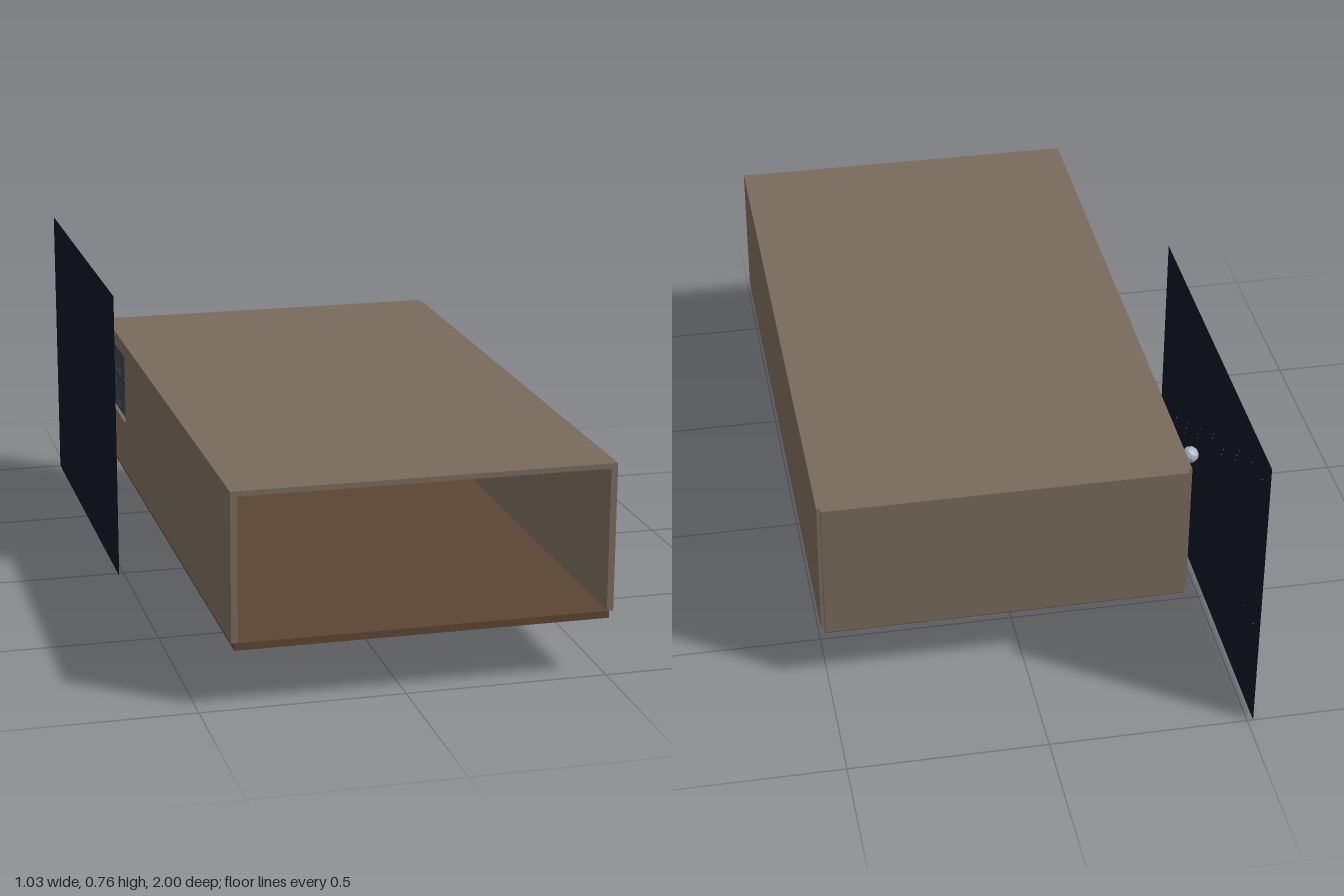
import * as THREE from 'three';

const WALL = 0x786a5c, FLOOR = 0x5c4533, WOOD = 0x4a3022, DARK = 0x2b3037, BLACK = 0x15181c,
  GREY = 0x3c444d, CREAM = 0xcfc8b8, ORANGE = 0xb5602a, GREEN = 0x2f5a45, TAN = 0x9a8260;
const BACK = -0.645, DESK = 0.27, GROUND = 0.164;

const mats = {};
function mat(color) {
  return (mats[color] ??= new THREE.MeshStandardMaterial({ color, flatShading: true, side: THREE.DoubleSide }));
}

export function createModel() {
  const root = new THREE.Group();

  function add(name, geo, color, x = 0, y = 0, z = 0, parent = root) {
    const m = new THREE.Mesh(geo, mat(color));
    m.name = name;
    m.position.set(x, y, z);
    parent.add(m);
    return m;
  }
  // box given by its limits
  const box = (name, color, x0, x1, y0, y1, z0, z1, parent) =>
    add(name, new THREE.BoxGeometry(x1 - x0, y1 - y0, z1 - z0), color,
      (x0 + x1) / 2, (y0 + y1) / 2, (z0 + z1) / 2, parent);
  // upright cylinder standing on y
  const cyl = (name, color, rt, rb, h, x, y, z, n = 12, parent) =>
    add(name, new THREE.CylinderGeometry(rt, rb, h, n), color, x, y + h / 2, z, parent);
  const ball = (name, color, r, x, y, z) => add(name, new THREE.IcosahedronGeometry(r, 1), color, x, y, z);

  // room shell, open to the front
  box('floor', FLOOR, -0.415, 0.503, 0.146, GROUND, -0.655, 1);
  box('ceiling', WALL, -0.422, 0.513, 0.52, 0.533, -0.655, 1);
  box('rightWall', WALL, 0.497, 0.513, GROUND, 0.52, -0.655, 1);
  box('backWall', WALL, -0.413, 0.504, 0.16, 0.533, -0.67, BACK);

  // left wall with a window opening (shape x is -z)
  const W = { z0: -0.6, z1: -0.37, y0: 0.305, y1: 0.495 };
  const wall = new THREE.Shape([[-1, GROUND], [0.655, GROUND], [0.655, 0.52], [-1, 0.52]]
    .map(p => new THREE.Vector2(...p)));
  wall.holes.push(new THREE.Path([[-W.z1, W.y0], [-W.z1, W.y1], [-W.z0, W.y1], [-W.z0, W.y0]]
    .map(p => new THREE.Vector2(...p))));
  const wallGeo = new THREE.ExtrudeGeometry(wall, { depth: 0.016, bevelEnabled: false });
  wallGeo.rotateY(Math.PI / 2);
  add('leftWall', wallGeo, WALL, -0.422, 0, 0);

  // window frame
  const fx0 = -0.412, fx1 = -0.386, t = 0.008;
  for (const z of [W.z0, (W.z0 + W.z1) / 2, W.z1]) box('windowUpright', DARK, fx0, fx1, W.y0 - t, W.y1 + t, z - t / 2, z + t / 2);
  for (const y of [W.y0, (W.y0 + W.y1) / 2, W.y1]) box('windowRail', DARK, fx0, fx1, y - t / 2, y + t / 2, W.z0, W.z1);

  // night sky, stars and moon outside
  const sky = add('nightSky', new THREE.PlaneGeometry(1.02, 0.765), 0x0e1422, -0.515, 0.3825, -0.49);
  sky.rotation.y = Math.PI / 2;
  for (let i = 0; i < 24; i++) {
    add('star', new THREE.OctahedronGeometry(0.0012), 0xcccccc, -0.513,
      0.25 + 0.45 * ((i * 0.618) % 1), -0.95 + 0.92 * ((i * 0.377 + 0.1) % 1));
  }
  ball('moon', 0xa9b3c6, 0.022, -0.465, 0.445, -0.475);

  // ceiling lamp
  box('lampHousing', DARK, -0.043, 0.131, 0.509, 0.519, -0.6, -0.56);
  box('lampTube', ORANGE, -0.026, 0.117, 0.501, 0.508, -0.59, -0.57);

  // row of pictures
  for (let i = 0; i < 8; i++) {
    const x = -0.3 + i * 0.0892;
    box('pictureFrame', DARK, x - 0.041, x + 0.041, 0.419, 0.479, BACK, BACK + 0.008);
    box('pictureSheet', CREAM, x - 0.033, x + 0.033, 0.426, 0.472, BACK, BACK + 0.01);
  }
  // dark notice board and display case
  box('boardFrame', GREY, -0.343, -0.268, 0.3, 0.394, BACK, BACK + 0.008);
  box('board', BLACK, -0.337, -0.274, 0.306, 0.388, BACK, BACK + 0.01);
  for (let i = 0; i < 5; i++) box('boardLine', TAN, -0.325, -0.295 + 0.006 * (i % 3), 0.32 + i * 0.012, 0.322 + i * 0.012, BACK, BACK + 0.011);
  box('displayCase', BLACK, 0.302, 0.382, 0.312, 0.406, BACK, BACK + 0.01);
  box('displayedDevice', GREY, 0.327, 0.354, 0.328, 0.376, BACK, BACK + 0.018);
  box('deviceScreen', CREAM, 0.333, 0.348, 0.35, 0.368, BACK, BACK + 0.02);

  // desk
  box('deskTop', WOOD, -0.404, 0.495, 0.259, DESK, BACK, -0.5);
  box('deskRail', DARK, -0.404, 0.495, 0.255, 0.26, BACK + 0.01, -0.51);
  box('keyboardTray', DARK, 0.02, 0.17, 0.241, 0.254, -0.6, -0.515);

  // drawer units under the desk
  function drawers(x0, x1, n) {
    box('drawerUnit', GREY, x0, x1, GROUND, 0.257, BACK, -0.52);
    const h = 0.085 / n;
    for (let i = 0; i < n; i++) {
      const y = 0.168 + i * h;
      box('drawerFront', DARK, x0 + 0.004, x1 - 0.004, y, y + h - 0.004, -0.521, -0.516);
      box('drawerHandle', GREY, (x0 + x1) / 2 - 0.014, (x0 + x1) / 2 + 0.014, y + h * 0.6, y + h * 0.6 + 0.003, -0.516, -0.512);
    }
  }
  drawers(-0.396, -0.33, 3);
  drawers(0.357, 0.482, 3);

  // computer tower, printer, rug and bin
  box('tower', DARK, -0.31, -0.258, 0.17, 0.258, -0.63, -0.52);
  box('towerLight', ORANGE, -0.291, -0.277, 0.184, 0.246, -0.53, -0.518);
  box('printer', DARK, -0.249, -0.192, GROUND, 0.213, -0.61, -0.52);
  box('printerLid', GREY, -0.245, -0.195, 0.219, 0.232, -0.605, -0.53);
  box('printerSlot', BLACK, -0.241, -0.2, 0.186, 0.192, -0.53, -0.518);
  box('rug', DARK, -0.19, 0.29, GROUND, 0.168, -0.6, -0.3);
  add('bin', new THREE.CylinderGeometry(0.027, 0.021, 0.07, 14, 1, true), GREY, 0.229, 0.202, -0.56);
  add('binRim', new THREE.TorusGeometry(0.027, 0.002, 6, 14).rotateX(Math.PI / 2), DARK, 0.229, 0.237, -0.56);

  // three monitors
  for (const x of [-0.159, 0.006, 0.173]) {
    box('monitor', GREY, x - 0.072, x + 0.072, 0.3, 0.385, -0.6, -0.59);
    box('monitorScreen', BLACK, x - 0.066, x + 0.066, 0.307, 0.379, -0.592, -0.588);
    box('monitorNeck', DARK, x - 0.007, x + 0.007, DESK, 0.32, -0.61, -0.6);
    box('monitorFoot', DARK, x - 0.03, x + 0.03, DESK, 0.275, -0.62, -0.575);
  }
  box('keyboard', DARK, -0.055, 0.08, DESK, 0.276, -0.56, -0.525);

  // laptop
  box('laptopBase', DARK, -0.32, -0.24, DESK, 0.275, -0.58, -0.525);
  const lid = box('laptopLid', DARK, -0.316, -0.242, 0.275, 0.325, -0.586, -0.582);
  lid.rotation.x = -0.15;
  box('laptopScreen', BLACK, -0.035, 0.035, -0.021, 0.021, 0.001, 0.003, lid);

  // oscilloscope
  box('oscilloscope', CREAM, 0.255, 0.327, 0.274, 0.322, -0.6, -0.55);
  box('oscilloscopeScreen', BLACK, 0.262, 0.294, 0.284, 0.314, -0.552, -0.548);
  for (let i = 0; i < 6; i++) {
    const knob = cyl('knob', DARK, 0.004, 0.004, 0.006, 0.304 + (i % 2) * 0.013, 0.281 + 0.012 * (i >> 1), -0.548, 8);
    knob.rotation.x = Math.PI / 2;
  }
  for (const x of [0.265, 0.317]) box('oscilloscopeFoot', DARK, x - 0.004, x + 0.004, DESK, 0.274, -0.595, -0.555);

  // small bench supply and cup
  box('benchSupply', GREY, 0.334, 0.362, DESK, 0.316, -0.6, -0.56);
  box('supplyScreen', CREAM, 0.339, 0.356, 0.298, 0.31, -0.562, -0.558);
  cyl('cup', GREY, 0.008, 0.007, 0.02, 0.388, DESK, -0.56);

  // desk lamps
  for (const [x, h] of [[0.412, 0.076], [0.087, 0.064]]) {
    cyl('lampFoot', DARK, 0.016, 0.018, 0.006, x, DESK, -0.58);
    cyl('lampStem', DARK, 0.003, 0.003, h - 0.02, x, DESK, -0.58, 8);
    cyl('lampShade', DARK, 0.006, 0.014, 0.024, x, DESK + h - 0.024, -0.575);
  }

  // corner shelf with books and a plant
  box('shelfBack', DARK, 0.43, 0.493, DESK, 0.505, BACK, BACK + 0.006);
  box('shelfSide', DARK, 0.487, 0.497, DESK, 0.505, BACK, -0.55);
  [0.285, 0.357, 0.428, 0.498].forEach((y, s) => {
    box('shelf', s % 3 ? WOOD : DARK, 0.424, 0.495, y - 0.004, y + 0.004, BACK, -0.55);
    if (s === 3) return;
    for (let i = 0; i < 4; i++) {
      const x = 0.43 + i * 0.014;
      box('book', i % 2 ? DARK : GREY, x, x + 0.012, y + 0.004, y + 0.034 + 0.006 * ((i * 2 + s) % 3), -0.635, -0.59);
    }
  });
  cyl('plantPot', GREY, 0.011, 0.008, 0.016, 0.47, 0.432, -0.57);
  ball('plantLeaves', GREEN, 0.014, 0.47, 0.456, -0.57);

  // tall stand, foliage and vase in the left corner
  cyl('standPole', TAN, 0.005, 0.006, 0.24, -0.379, DESK, -0.62, 8);
  ball('standFoliage', GREEN, 0.018, -0.37, 0.382, -0.61);
  const vase = [[0.01, 0], [0.016, 0.01], [0.016, 0.02], [0.007, 0.034], [0.009, 0.042]];
  add('vase', new THREE.LatheGeometry(vase.map(p => new THREE.Vector2(...p)), 14), ORANGE, -0.36, DESK, -0.57);

  // swivel chair, its back to the front
  const chair = new THREE.Group();
  chair.name = 'chair';
  chair.position.set(0.055, GROUND, -0.43);
  root.add(chair);
  box('seat', GREY, -0.048, 0.048, 0.062, 0.076, -0.045, 0.045, chair);
  const rest = box('backrest', GREY, -0.049, 0.022, 0.078, 0.174, 0.04, 0.052, chair);
  rest.rotation.x = 0.1;
  box('backSupport', DARK, -0.02, -0.006, 0.058, 0.1, 0.045, 0.058, chair);
  cyl('chairPost', DARK, 0.006, 0.006, 0.055, 0, 0.01, 0, 10, chair);
  for (let i = 0; i < 5; i++) {
    const leg = new THREE.Group();
    leg.rotation.y = i * Math.PI * 0.4;
    leg.name = 'chairLeg';
    chair.add(leg);
    box('legBar', DARK, 0, 0.05, 0.008, 0.014, -0.004, 0.004, leg);
    add('caster', new THREE.SphereGeometry(0.005, 8, 6), BLACK, 0.048, 0.006, 0, leg);
  }
  return root;
}
